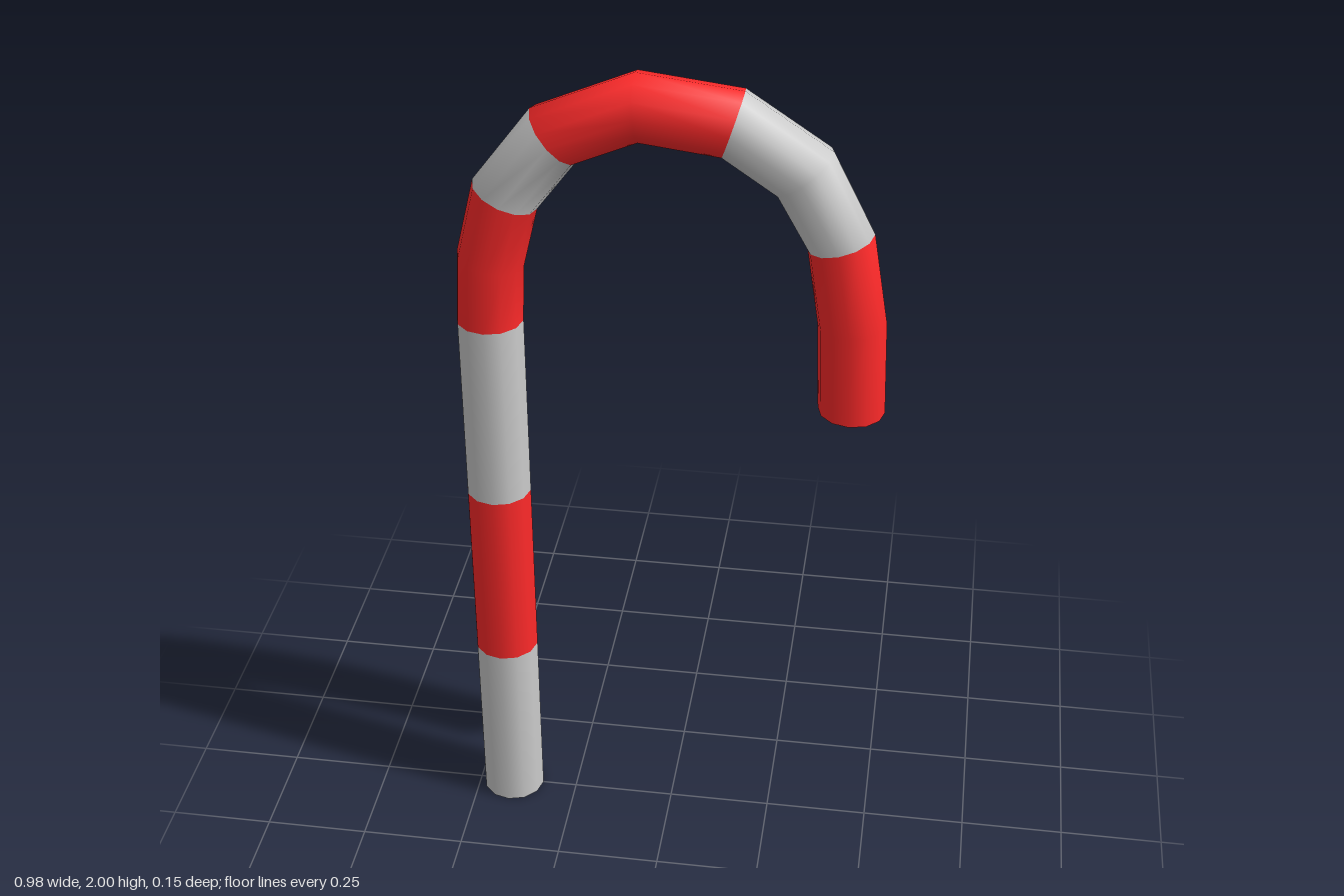
import * as THREE from 'three';

const SIDES = 12;
const RADIUS = 0.077;

// Rings along the cane: outer x, y, then inner x, y
const RINGS = [
  [-0.49, 0, -0.336, 0],
  [-0.49, 0.462, -0.336, 0.462],
  [-0.49, 0.923, -0.336, 0.923],
  [-0.49, 1.385, -0.336, 1.385],
  [-0.48, 1.555, -0.33, 1.523],
  [-0.437, 1.73, -0.295, 1.668],
  [-0.304, 1.905, -0.204, 1.788],
  [-0.077, 2, -0.066, 1.847],
  [0.156, 1.972, 0.109, 1.825],
  [0.347, 1.846, 0.225, 1.746],
  [0.442, 1.66, 0.297, 1.619],
  [0.479, 1.443, 0.326, 1.433],
  [0.487, 1.213, 0.335, 1.216],
].map(([ox, oy, ix, iy]) => ({
  centre: new THREE.Vector3((ox + ix) / 2, (oy + iy) / 2, 0),
  across: new THREE.Vector3((ox - ix) / 2, (oy - iy) / 2, 0),
}));

// Offset from a ring's centre to its j-th corner
function corner(ring, j) {
  const a = (j / SIDES) * Math.PI * 2;
  const v = ring.across.clone().multiplyScalar(Math.cos(a));
  v.z = RADIUS * Math.sin(a);
  return v;
}

function build(positions, normals, index) {
  const g = new THREE.BufferGeometry();
  g.setAttribute('position', new THREE.Float32BufferAttribute(positions, 3));
  if (normals) g.setAttribute('normal', new THREE.Float32BufferAttribute(normals, 3));
  g.setIndex(index);
  if (!normals) g.computeVertexNormals();
  return g;
}

// Smooth tube through the rings from first to last
function bandGeometry(first, last) {
  const pos = [], nor = [], idx = [];
  for (let i = first; i <= last; i++) {
    for (let j = 0; j < SIDES; j++) {
      const v = corner(RINGS[i], j);
      pos.push(...v.clone().add(RINGS[i].centre).toArray());
      nor.push(...v.normalize().toArray());
      if (i === last) continue;
      const row = (i - first) * SIDES;
      const a = row + j, b = row + ((j + 1) % SIDES);
      idx.push(a, b, b + SIDES, a, b + SIDES, a + SIDES);
    }
  }
  return build(pos, nor, idx);
}

// Flat disc closing one end
function capGeometry(ring, atStart) {
  const pos = ring.centre.toArray(), idx = [];
  for (let j = 0; j < SIDES; j++) {
    pos.push(...corner(ring, j).add(ring.centre).toArray());
    const a = j + 1, b = ((j + 1) % SIDES) + 1;
    idx.push(0, ...(atStart ? [b, a] : [a, b]));
  }
  return build(pos, null, idx);
}

export function createModel() {
  const model = new THREE.Group();
  model.name = 'candyCane';
  const grey = new THREE.MeshStandardMaterial({ color: 0xcccccc });
  const red = new THREE.MeshStandardMaterial({ color: 0xff2a2a });

  const add = (name, geometry, material) => {
    const mesh = new THREE.Mesh(geometry, material);
    mesh.name = name;
    model.add(mesh);
  };

  // Alternating stripes from the foot of the stem to the tip of the hook
  const breaks = [0, 1, 2, 3, 5, 6, 8, 10, 12];
  for (let k = 0; k < breaks.length - 1; k++) {
    const part = k < 3 ? 'stemStripe' : 'hookStripe';
    add(part + (k + 1), bandGeometry(breaks[k], breaks[k + 1]), k % 2 ? red : grey);
  }

  // End caps
  add('stemCap', capGeometry(RINGS[0], true), grey);
  add('hookCap', capGeometry(RINGS[RINGS.length - 1], false), red);
  return model;
}
